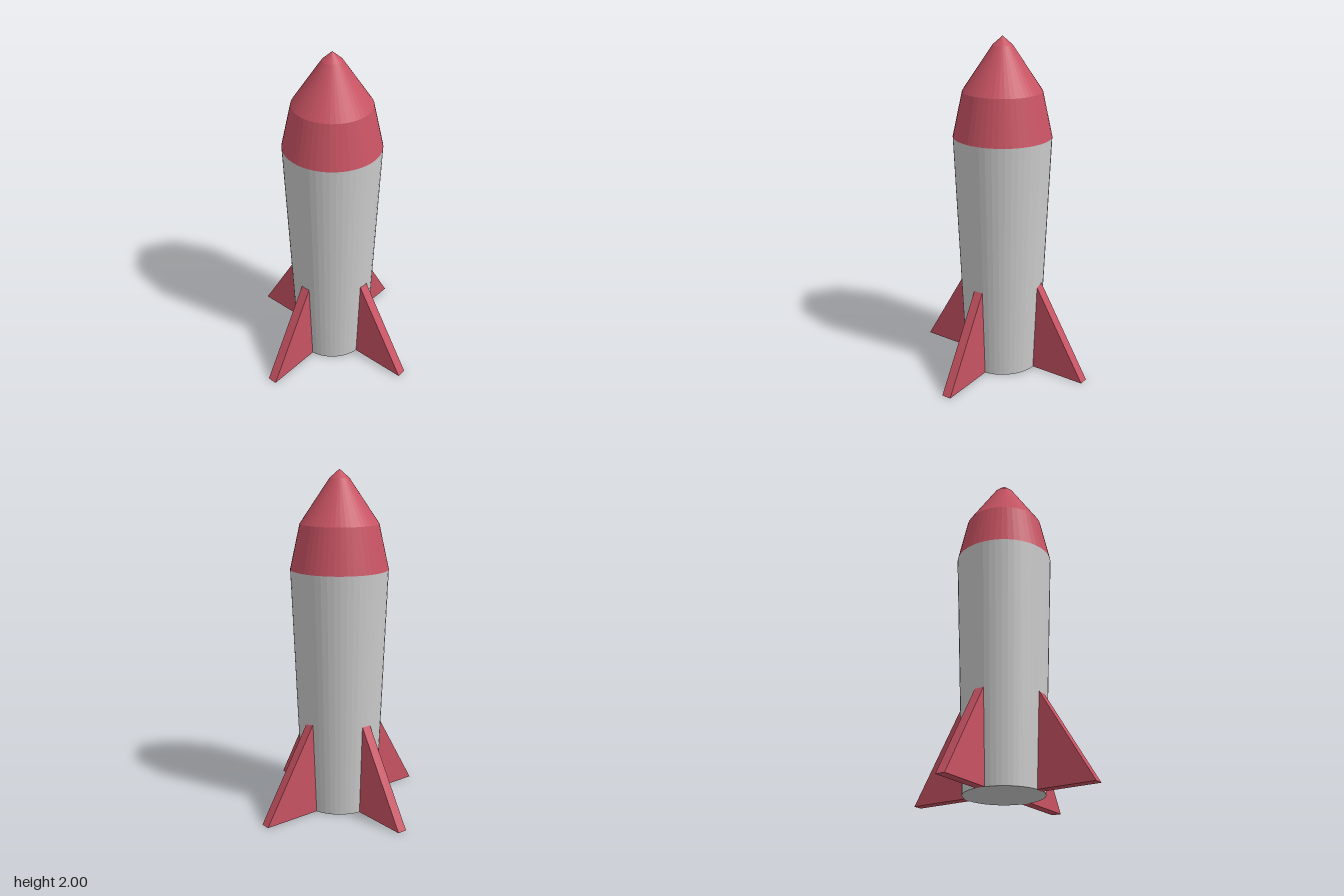
import * as THREE from 'three';

const SIDES = 48;
const grey = new THREE.MeshStandardMaterial({ color: 0xcccccc, flatShading: true });
const red = new THREE.MeshStandardMaterial({ color: 0xc85363, flatShading: true });

// Surface of revolution from [radius, height] pairs, bottom to top
function turned(name, profile, material) {
  const points = profile.map(([r, y]) => new THREE.Vector2(r, y));
  const mesh = new THREE.Mesh(new THREE.LatheGeometry(points, SIDES), material);
  mesh.name = name;
  return mesh;
}

export function createModel() {
  const rocket = new THREE.Group();
  rocket.name = 'rocket';

  // Body widens upwards and has a flat base
  rocket.add(turned('body', [[0, 0], [0.228, 0], [0.285, 1.435]], grey));

  // Nose cone in three tapering bands
  rocket.add(turned('noseCone', [[0.285, 1.435], [0.228, 1.695], [0.057, 1.95], [0, 2]], red));

  // Triangular fins, with the inner edge sunk just inside the body
  const thickness = 0.057;
  const outline = new THREE.Shape([
    new THREE.Vector2(0.219, 0),
    new THREE.Vector2(0.57, 0),
    new THREE.Vector2(0.232, 0.57),
  ]);
  const finGeometry = new THREE.ExtrudeGeometry(outline, { depth: thickness, bevelEnabled: false });
  finGeometry.translate(0, 0, -thickness / 2);
  ['leftFin', 'backFin', 'rightFin', 'frontFin'].forEach((name, i) => {
    const fin = new THREE.Mesh(finGeometry, red);
    fin.name = name;
    fin.rotation.y = (i * Math.PI) / 2;
    // The left fin sits half its thickness behind the centre line
    if (name === 'leftFin') fin.position.z = -thickness / 2;
    rocket.add(fin);
  });

  return rocket;
}
